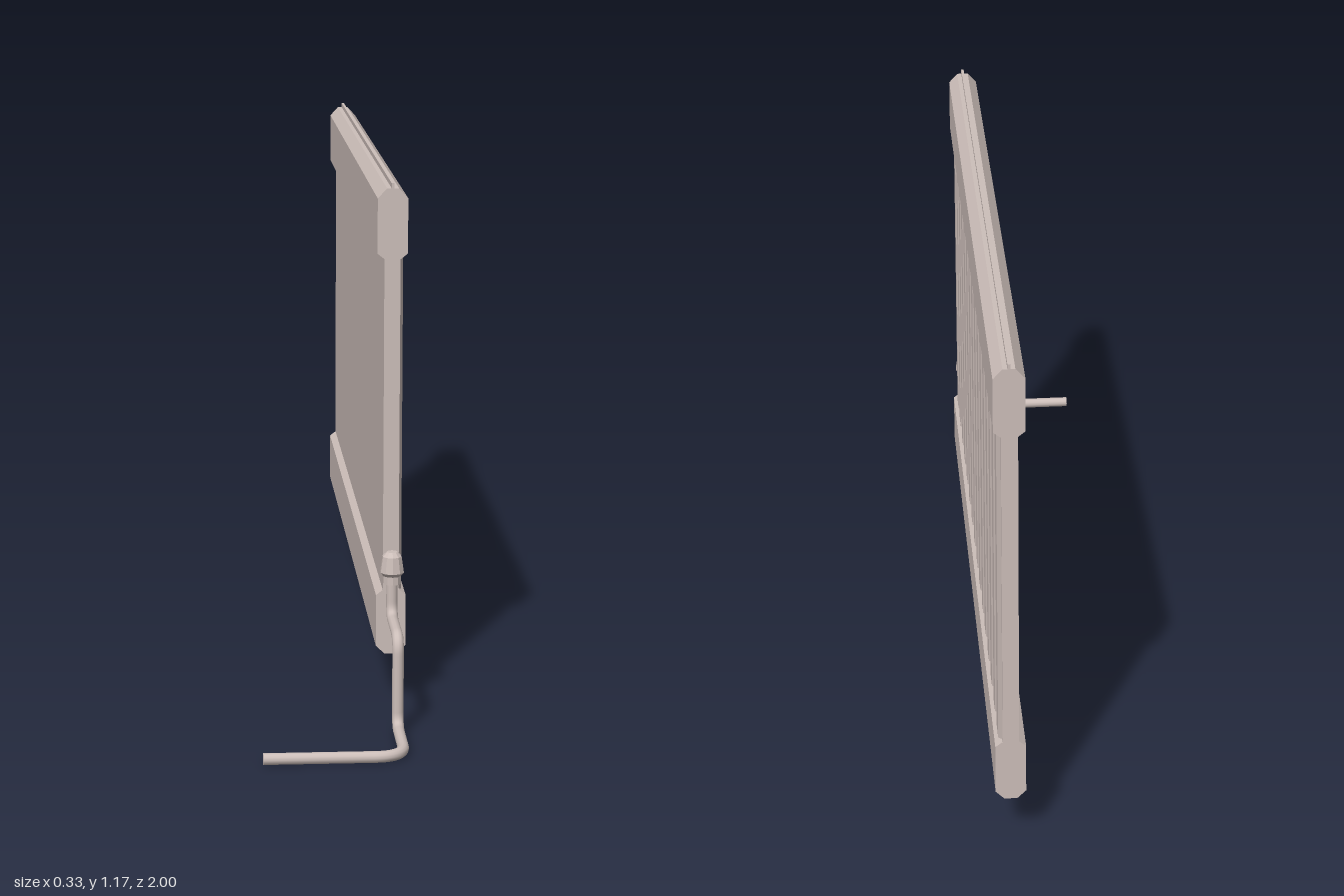
import * as THREE from 'three';

const paint = new THREE.MeshStandardMaterial({ color: 0xcdbfba });
paint.name = 'warm grey enamel';

const CX = 0.133, BACK = -1, FRONT = 0.592, LENGTH = FRONT - BACK;

export function createModel() {
  const group = new THREE.Group();
  const add = (name, geometry) => {
    const mesh = new THREE.Mesh(geometry, paint);
    mesh.name = name;
    group.add(mesh);
    return mesh;
  };

  // Header rails: half-profile [half width, y] mirrored, extruded along z
  const rail = (name, half) => {
    const mirrored = half.map(([w, y]) => [-w, y]).reverse();
    const pts = [...half, ...mirrored].map(([w, y]) => new THREE.Vector2(CX + w, y));
    const geo = new THREE.ExtrudeGeometry(new THREE.Shape(pts), { depth: LENGTH, bevelEnabled: false });
    add(name, geo.translate(0, 0, BACK));
  };
  rail('topHeader', [
    [0.018, 1.003], [0.033, 1.015], [0.033, 1.135], [0.013, 1.157],
    [0.003, 1.157], [0.003, 1.168],
  ]);
  rail('bottomHeader', [[0.014, 0.115], [0.033, 0.134], [0.033, 0.25], [0.018, 0.262]]);

  // Panel: flat on one side, sixteen shallow ribs on the other
  const low = 0.15, high = 0.158, ribs = 16, pitch = LENGTH / ribs;
  const plan = [new THREE.Vector2(0.115, -FRONT), new THREE.Vector2(low, -FRONT)];
  for (let i = 0; i < ribs; i++) {
    for (const [t, x] of [[0.1, low], [0.27, high], [0.73, high], [0.9, low]]) {
      plan.push(new THREE.Vector2(x, -FRONT + (i + t) * pitch));
    }
  }
  plan.push(new THREE.Vector2(low, -BACK), new THREE.Vector2(0.115, -BACK));
  const panel = new THREE.ExtrudeGeometry(new THREE.Shape(plan), { depth: 0.754, bevelEnabled: false });
  add('ribbedPanel', panel.rotateX(-Math.PI / 2).translate(0, 0.255, 0));

  // Supply pipe: straight runs joined by rounded bends
  const R = 0.0125, px = 0.132;
  const corners = [
    [-0.167, R, 0.9875], [px, R, 0.9875], [px, R, 0.794],
    [px, 0.212, 0.794], [px, 0.212, 0.631], [px, 0.3, 0.631],
  ].map((p) => new THREE.Vector3(...p));
  const bends = [0, 0.065, 0.035, 0.035, 0.035];
  const path = new THREE.CurvePath();
  let from = corners[0];
  for (let i = 1; i < corners.length - 1; i++) {
    const c = corners[i];
    const toward = (p) => c.clone().add(p.clone().sub(c).setLength(bends[i]));
    const start = toward(corners[i - 1]), end = toward(corners[i + 1]);
    path.add(new THREE.LineCurve3(from, start));
    path.add(new THREE.QuadraticBezierCurve3(start, c, end));
    from = end;
  }
  path.add(new THREE.LineCurve3(from, corners[5]));
  add('supplyPipe', new THREE.TubeGeometry(path, 140, R, 12, false));
  add('pipeEnd', new THREE.CircleGeometry(R, 12).rotateY(-Math.PI / 2)).position.copy(corners[0]);

  // Faceted valve head above the pipe
  const profile = [
    [0, 0.288], [0.02, 0.288], [0.02, 0.306], [0.027, 0.314],
    [0.0215, 0.35], [0.012, 0.36], [0, 0.36],
  ].map(([r, y]) => new THREE.Vector2(r, y));
  const valve = new THREE.LatheGeometry(profile, 10).toNonIndexed();
  valve.computeVertexNormals();
  add('valveHead', valve).position.set(px, 0, 0.631);

  return group;
}
